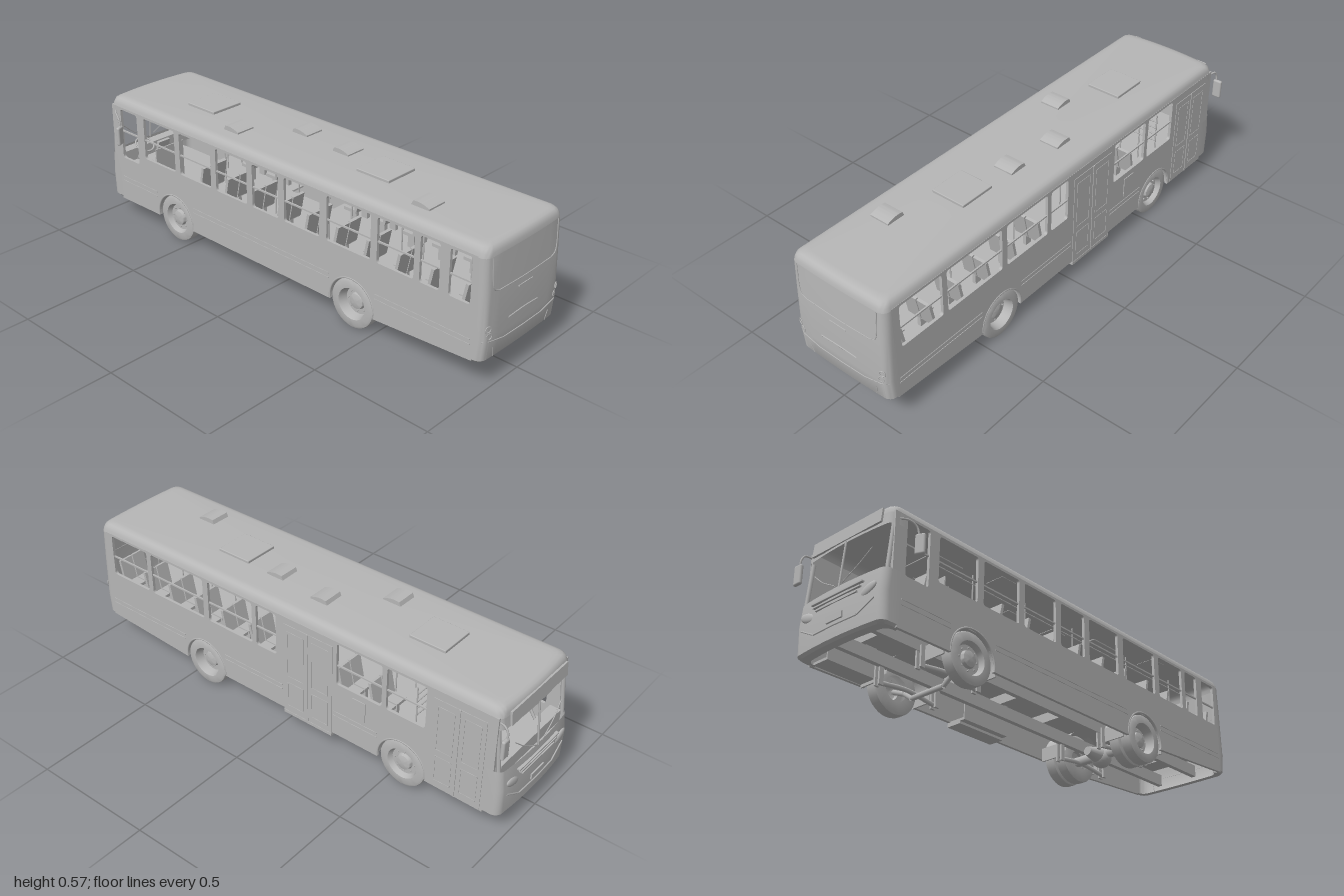
import * as THREE from 'three';
import { toCreasedNormals } from 'three/addons/utils/BufferGeometryUtils.js';
import { RoundedBoxGeometry } from 'three/addons/geometries/RoundedBoxGeometry.js';

const grey = new THREE.MeshStandardMaterial({ color: 0xb6b6b6, side: THREE.DoubleSide });
grey.name = 'plain grey';
const CX = 0.01, HW = 0.2225; // centre line and half width of the body
const V = (x, y, z) => new THREE.Vector3(x, y, z);

export function createModel() {
  const bus = new THREE.Group();
  bus.name = 'cityBus';
  const add = (name, geo, parent = bus) => {
    const m = new THREE.Mesh(geo, grey);
    m.name = name;
    parent.add(m);
    return m;
  };
  // Box given by its limits
  const box = (name, x0, x1, y0, y1, z0, z1, parent) => {
    const m = add(name, new THREE.BoxGeometry(x1 - x0, y1 - y0, z1 - z0), parent);
    m.position.set((x0 + x1) / 2, (y0 + y1) / 2, (z0 + z1) / 2);
    return m;
  };
  const tube = (name, pts, r = 0.003, n = 12) =>
    add(name, new THREE.TubeGeometry(new THREE.CatmullRomCurve3(pts.map(p => V(...p))), n, r, 6));
  const bar = (name, a, b, r = 0.003) => add(name, new THREE.TubeGeometry(new THREE.LineCurve3(V(...a), V(...b)), 1, r, 6));
  // Rounded U-shaped skin for one end; each row is [y, halfWidth, zEnd]
  const endSkin = (name, dir, zStart, rows) => {
    const pos = [], idx = [], bow = dir > 0 ? 0.004 : 0.01;
    let n = 0;
    for (const [y, hw, ze] of rows) {
      const r = Math.min(0.032, hw), pts = [[hw, zStart]];
      for (let i = 0; i <= 6; i++) {
        const a = i / 6 * Math.PI / 2;
        pts.push([hw - r + r * Math.cos(a), ze - r - (hw ? bow : 0) + r * Math.sin(a)]);
      }
      for (let i = 1; i <= 4; i++) {
        const t = 1 - i / 4;
        pts.push([t * (hw - r), ze - (hw ? bow : 0) * t * t]);
      }
      const half = pts.slice(0, -1).map(p => [-p[0], p[1]]).reverse();
      const all = pts.concat(half);
      n = all.length;
      for (const [x, z] of all) pos.push(CX + x, y, dir * (hw ? z : 0));
    }
    for (let j = 0; j < rows.length - 1; j++) for (let i = 0; i < n - 1; i++) {
      const a = j * n + i, b = a + 1, c = a + n, d = c + 1;
      if (dir > 0) idx.push(a, c, b, b, c, d);
      else idx.push(a, b, c, b, d, c);
    }
    const g = new THREE.BufferGeometry();
    g.setAttribute('position', new THREE.Float32BufferAttribute(pos, 3));
    g.setIndex(idx);
    return add(name, toCreasedNormals(g, 0.6));
  };

  // Roof, both halves, and the two ends
  for (const [dir, len] of [[1, 0.988], [-1, 0.965]])
    endSkin('roof', dir, 0, [[0.505, HW, len], [0.52, 0.219, len - 0.002], [0.533, 0.214, len - 0.007],
      [0.541, 0.206, len - 0.015], [0.546, 0.194, len - 0.028], [0.547, 0.18, len - 0.045], [0.549, 0, 0]]);
  endSkin('rearWall', 1, 0.94, [[0.105, 0.2, 0.96], [0.106, 0.215, 0.986], [0.115, HW, 0.993], [0.2, HW, 1], [0.38, HW, 0.994], [0.506, HW, 0.988]]);
  endSkin('frontFascia', -1, 0.9, [[0.08, 0.2, 0.95], [0.081, 0.214, 0.98], [0.09, HW, 0.99], [0.2, HW, 0.994], [0.285, HW, 0.985]]);
  endSkin('frontHeader', -1, 0.9, [[0.46, HW, 0.97], [0.506, HW, 0.965]]);

  // Side walls: windows are [zMin, zMax, sill]
  const wheelsZ = [0.41, -0.565];
  const rightWindows = [[0.714, 0.917], [0.404, 0.69], [0.147, 0.377], [0.026, 0.126], [-0.47, -0.265], [-0.66, -0.49]];
  const leftWindows = [[-0.89, -0.785, 0.28], [-0.74, -0.55], [-0.52, -0.335], [-0.305, -0.13], [-0.1, 0.04],
    [0.07, 0.25], [0.285, 0.495], [0.525, 0.69], [0.715, 0.8], [0.84, 0.93]];
  const wall = (name, x, windows) => {
    const s = new THREE.Shape();
    s.moveTo(-0.95, 0.108);
    for (const z of wheelsZ) {
      s.lineTo(-z - 0.105, 0.082);
      s.absarc(-z, 0.1, 0.106, Math.PI + 0.16, -0.16, true);
    }
    s.lineTo(0.915, 0.08);
    s.lineTo(0.915, 0.51);
    s.lineTo(-0.95, 0.51);
    for (const [z0, z1, lo = 0.32] of windows) {
      const a = -z1, b = -z0, r = 0.012, hi = 0.5, h = new THREE.Path();
      h.moveTo(a + r, lo); h.lineTo(b - r, lo); h.quadraticCurveTo(b, lo, b, lo + r);
      h.lineTo(b, hi - r); h.quadraticCurveTo(b, hi, b - r, hi);
      h.lineTo(a + r, hi); h.quadraticCurveTo(a, hi, a, hi - r);
      h.lineTo(a, lo + r); h.quadraticCurveTo(a, lo, a + r, lo);
      s.holes.push(h);
    }
    const g = new THREE.ExtrudeGeometry(s, { depth: 0.012, bevelEnabled: false, curveSegments: 16 });
    g.rotateY(Math.PI / 2);
    add(name, g).position.x = x;
    for (const [z0, z1] of windows) box('windowRail', x + 0.003, x + 0.009, 0.4, 0.406, z0, z1);
    box('cornerPillar', x, x + 0.012, 0.27, 0.51, -0.945, -0.9);
  };
  wall('rightWall', 0.2205, rightWindows);
  wall('leftWall', -0.2125, leftWindows);
  for (const [x, spans] of [[0.2325, [[0.52, 0.94], [0, 0.3], [-0.455, -0.25]]], [-0.2125, [[0.52, 0.94], [-0.455, 0.3], [-0.9, -0.675]]]])
    for (const [z0, z1] of spans) for (const y of [0.167, 0.187]) box('sideMoulding', x - 0.002, x + 0.002, y, y + 0.004, z0, z1);

  // Doors on the right side
  const door = (name, z0, z1, y0, y1) => {
    box(name, 0.222, 0.2345, y0, y1, z0, z1);
    const w = (z1 - z0) / 2;
    for (let i = 0; i < 2; i++) {
      const a = z0 + i * w + 0.02, b = a + w - 0.04;
      for (const [lo, hi] of [[y0 + 0.03, y0 + 0.14], [y0 + 0.17, y1 - 0.03]]) {
        for (const z of [a, b]) box('doorSeal', 0.234, 0.236, lo, hi, z - 0.002, z + 0.002);
        for (const y of [lo, hi]) box('doorSeal', 0.234, 0.236, y - 0.002, y + 0.002, a, b);
      }
    }
    box('doorJoint', 0.234, 0.237, y0, y1, z0 + w - 0.003, z0 + w + 0.003);
    // Steps behind the door
    box('lowerStep', 0.15, 0.222, y0, y0 + 0.01, z0, z1);
    box('stepRiser', 0.145, 0.15, y0, 0.21, z0, z1);
  };
  door('middleDoor', -0.245, -0.01, 0.075, 0.48);
  door('frontDoor', -0.905, -0.69, 0.085, 0.475);
  box('middleSill', 0.17, 0.236, 0.065, 0.078, -0.245, -0.01);
  box('serviceFlap', 0.231, 0.2355, 0.21, 0.295, -0.4, -0.34);

  // Roof hatches: large flat ones and small domed vents, by centre
  for (const [x, z] of [[0.014, -0.553], [0.014, 0.367]])
    add('largeHatch', new RoundedBoxGeometry(0.15, 0.016, 0.155, 2, 0.003)).position.set(x, 0.551, z);
  const vent = new THREE.Shape();
  vent.moveTo(-0.04, 0); vent.lineTo(-0.04, 0.008); vent.quadraticCurveTo(0, 0.026, 0.032, 0.018); vent.lineTo(0.04, 0);
  const ventGeo = toCreasedNormals(new THREE.ExtrudeGeometry(vent, { depth: 0.085, bevelEnabled: false }).rotateY(Math.PI / 2), 0.5);
  for (const [x, z] of [[-0.13, -0.3], [0.035, -0.088], [0.01, 0.148], [-0.13, 0.642]])
    add('roofVent', ventGeo).position.set(x, 0.546, z);

  // Windscreen frame, destination panel and fascia trim
  for (const s of [-1, 1]) {
    bar('windscreenPillar', [CX + s * 0.21, 0.28, -0.957], [CX + s * 0.21, 0.465, -0.94], 0.008);
    const lamp = add('headlamp', new THREE.SphereGeometry(1, 16, 10));
    lamp.scale.set(0.04, 0.018, 0.008);
    lamp.position.set(CX + s * 0.155, 0.215, -0.985);
    lamp.rotation.z = s * 0.35;
    tube('wiper', [[CX + s * 0.02, 0.29, -0.988], [CX + s * 0.09, 0.33, -0.984], [CX + s * 0.15, 0.38, -0.976]], 0.002);
    bar('bumperCrease', [CX, 0.135, -0.994], [CX + s * 0.11, 0.135, -0.991], 0.003);
    bar('bumperCrease', [CX + s * 0.11, 0.135, -0.991], [CX + s * 0.185, 0.175, -0.985], 0.003);
  }
  bar('windscreenDivider', [CX, 0.28, -0.985], [CX, 0.465, -0.969], 0.004);
  const sign = box('destinationPanel', -0.17, 0.19, 0.47, 0.525, -0.97, -0.962);
  sign.rotation.x = 0.1;
  for (const [y, w] of [[0.25, 0.13], [0.235, 0.12], [0.22, 0.105]]) box('grilleSlat', CX - w, CX + w, y, y + 0.006, -0.996, -0.98);
  box('numberPlate', CX - 0.04, CX + 0.04, 0.15, 0.175, -0.998, -0.99);

  // Rear wall trim and lamps
  for (const s of [-1, 1]) {
    for (const [x, y] of [[0.193, 0.21], [0.2, 0.24]]) {
      const c = add('rearLamp', new THREE.TorusGeometry(0.0115, 0.002, 6, 24));
      c.position.set(CX + s * x, y, 0.995);
      c.rotation.y = s * 0.3;
    }
    tube('rearWindowEdge', [[CX + s * 0.15, 0.372, 0.993], [CX + s * 0.178, 0.385, 0.992], [CX + s * 0.19, 0.505, 0.985]], 0.002);
    bar('rearBumperCrease', [CX + s * 0.155, 0.115, 0.99], [CX + s * 0.165, 0.155, 0.994], 0.002);
    bar('rearBumperSeam', [CX, 0.172, 0.999], [CX + s * 0.11, 0.173, 0.998], 0.002);
    bar('rearBumperSeam', [CX + s * 0.11, 0.173, 0.998], [CX + s * 0.192, 0.189, 0.996], 0.002);
    bar('rearBumperSeam', [CX + s * 0.192, 0.189, 0.996], [CX + s * 0.217, 0.193, 0.983], 0.002);
  }
  tube('rearWindowSill', [[-0.14, 0.372, 0.993], [CX, 0.37, 0.995], [0.16, 0.372, 0.993]], 0.002);
  tube('engineVent', [[-0.08, 0.242, 0.998], [CX, 0.246, 0.999], [0.09, 0.242, 0.998]]);
  box('rearHandle', -0.03, 0.05, 0.338, 0.343, 0.99, 0.998);

  // Mirrors on their arms
  tube('leftMirrorArm', [[-0.205, 0.485, -0.93], [-0.228, 0.484, -0.9], [-0.238, 0.465, -0.87], [-0.24, 0.43, -0.86]], 0.004);
  const mirror = new RoundedBoxGeometry(0.038, 0.08, 0.016, 3, 0.007);
  const lm = add('leftMirror', mirror);
  lm.position.set(-0.246, 0.4, -0.86);
  lm.rotation.y = 0.4;
  tube('rightMirrorArm', [[0.222, 0.49, -0.94], [0.234, 0.495, -0.97], [0.236, 0.475, -0.984], [0.24, 0.44, -0.984]], 0.004);
  add('rightMirror', mirror).position.set(0.246, 0.415, -0.984);

  // Wheels: outward is +y in the profile
  const wheelGeo = (dish) => {
    const p = [[0.05, -0.025], [0.09, -0.025], [0.098, -0.021], [0.1, -0.015], [0.1, 0.015], [0.098, 0.021], [0.09, 0.025],
      [0.064, 0.025], [0.061, 0.02], [0.055, dish], [0.034, dish], [0.03, dish + 0.012], [0.016, dish + 0.016], [0, dish + 0.016]];
    return toCreasedNormals(new THREE.LatheGeometry(p.map(q => new THREE.Vector2(...q)), 32), 0.6);
  };
  const rear = wheelGeo(-0.012), front = wheelGeo(0.005);
  for (const s of [-1, 1]) {
    const wheel = (name, geo, x, z) => {
      const g = new THREE.Group();
      g.name = name;
      g.position.set(CX + s * x, 0.1, z);
      g.rotation.z = -s * Math.PI / 2;
      add('tyreAndRim', geo, g);
      for (let i = 0; i < 8; i++) {
        const a = i * Math.PI / 4;
        add('wheelNut', new THREE.CylinderGeometry(0.003, 0.003, 0.008, 6), g)
          .position.set(0.043 * Math.cos(a), geo === rear ? -0.01 : 0.008, 0.043 * Math.sin(a));
      }
      bus.add(g);
    };
    wheel('rearOuterWheel', rear, 0.195, wheelsZ[0]);
    wheel('rearInnerWheel', rear, 0.14, wheelsZ[0]);
    wheel('frontWheel', front, 0.19, wheelsZ[1]);
    for (const z of wheelsZ) {
      const arch = add('archRim', new THREE.TorusGeometry(0.107, 0.004, 6, 28, Math.PI + 0.2));
      arch.rotation.set(0, Math.PI / 2, -0.1);
      arch.position.set(CX + s * 0.221, 0.1, z);
      const liner = add('wheelHousing', new THREE.CylinderGeometry(0.11, 0.11, 0.12, 24, 1, true, 0, Math.PI));
      liner.rotation.z = Math.PI / 2;
      liner.position.set(CX + s * 0.155, 0.1, z);
      for (const d of [-0.125, 0.125])
        box('mudFlap', CX + s * 0.165 - 0.045, CX + s * 0.165 + 0.045, 0.073, 0.13, z + d - 0.003, z + d + 0.003);
      const x = CX + s * 0.105;
      tube('leafSpring', [[x, 0.06, z - 0.135], [x, 0.075, z], [x, 0.06, z + 0.135]], 0.009);
      for (const d of [-0.135, 0.135]) for (const e of [-0.011, 0.011])
        box('springHanger', x + e - 0.004, x + e + 0.004, 0.048, 0.13, z + d - 0.01, z + d + 0.01);
    }
    box('chassisRail', CX + s * 0.09 - 0.01, CX + s * 0.09 + 0.01, 0.115, 0.165, -0.93, 0.94);
  }

  // Floor, cross members, axles and drive line
  box('floor', -0.205, 0.148, 0.203, 0.21, -0.96, 0.96);
  for (const [z0, z1] of [[-0.69, -0.245], [-0.01, 0.96]]) box('floor', 0.148, 0.222, 0.203, 0.21, z0, z1);
  for (const z of [-0.8, -0.35, -0.1, 0.15, 0.6, 0.8]) box('crossMember', -0.2, 0.145, 0.165, 0.203, z - 0.01, z + 0.01);
  bar('rearAxle', [-0.18, 0.085, 0.41], [0.2, 0.085, 0.41], 0.02);
  add('differential', new THREE.SphereGeometry(0.042, 24, 16)).position.set(CX, 0.073, 0.41);
  const nose = add('differentialNose', new THREE.CylinderGeometry(0.018, 0.034, 0.07, 16));
  nose.position.set(CX, 0.078, 0.355);
  nose.rotation.x = -Math.PI / 2;
  const beam = [[-0.17, 0.09], [-0.11, 0.065], [-0.07, 0.036], [0.09, 0.036], [0.13, 0.065], [0.19, 0.09]];
  for (let i = 0; i < beam.length - 1; i++) bar('frontAxle', [...beam[i], -0.565], [...beam[i + 1], -0.565], 0.01);

  // Seats, facing the front of the bus
  const seat = (x, z) => {
    const g = new THREE.Group();
    g.name = 'seat';
    box('cushion', -0.03, 0.03, 0.27, 0.283, -0.03, 0.03, g);
    box('backrest', -0.03, 0.03, 0.275, 0.38, -0.006, 0.006, g).position.z = 0.038;
    g.children[1].rotation.x = 0.2;
    box('pedestal', -0.008, 0.008, 0.21, 0.271, -0.015, 0.015, g);
    g.position.set(x, 0, z);
    bus.add(g);
  };
  for (let i = 0; i < 10; i++) {
    const z = -0.45 + i * 0.145;
    for (const x of [-0.165, -0.1, 0.12, 0.185]) if (x < 0 || z > 0.05 || z < -0.3) seat(x, z);
  }
  seat(-0.12, -0.78);

  // Grab poles, ceiling rails and driver's area
  for (const x of [-0.055, 0.075]) {
    bar('ceilingRail', [x, 0.505, -0.6], [x, 0.505, 0.9]);
    for (const z of [-0.42, -0.13, 0.155, 0.51, 0.82]) bar('grabPole', [x, 0.21, z], [x, 0.545, z]);
  }
  for (const y of [0.33, 0.36, 0.39, 0.42]) bar('turnstileBar', [0.03, y, -0.6], [0.2, y, -0.6]);
  for (const x of [0.03, 0.12, 0.2]) bar('turnstilePost', [x, 0.21, -0.6], [x, 0.45, -0.6]);
  box('driverPartition', -0.195, -0.05, 0.21, 0.37, -0.695, -0.69);
  box('dashboard', -0.195, 0.2, 0.24, 0.29, -0.955, -0.91);
  const steering = add('steeringWheel', new THREE.TorusGeometry(0.04, 0.004, 8, 24));
  steering.position.set(-0.12, 0.32, -0.86);
  steering.rotation.x = -1.1;
  bar('steeringColumn', [-0.12, 0.32, -0.86], [-0.12, 0.24, -0.91], 0.006);
  return bus;
}
